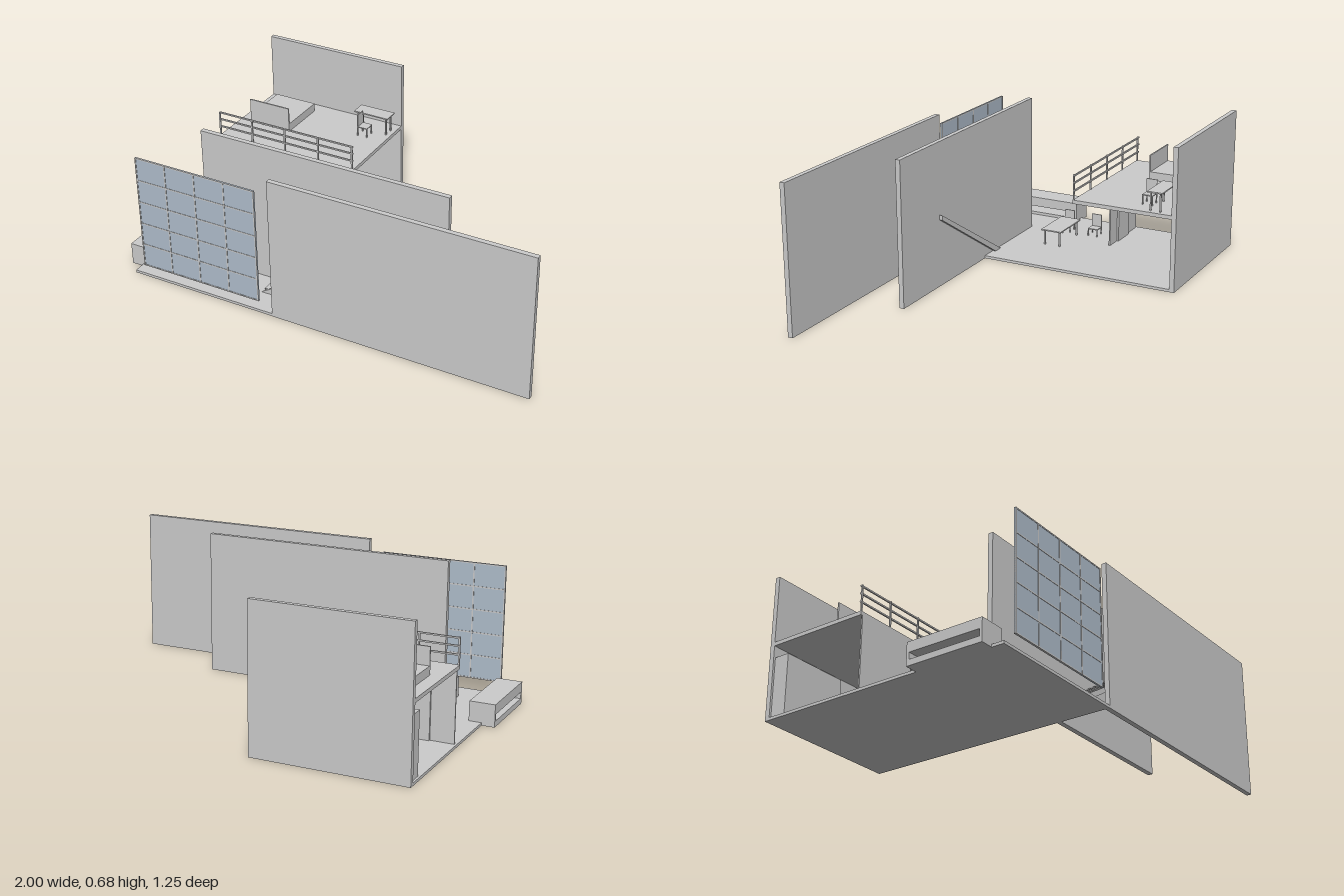
import * as THREE from 'three';

export function createModel() {
  const root = new THREE.Group();
  const grey = new THREE.MeshStandardMaterial({ color: 0xcccccc });
  grey.name = 'plain grey';
  const blue = new THREE.MeshStandardMaterial({ color: 0xb0becc });
  blue.name = 'glass blue';

  // Box given by its extents along x, y and z
  function box(name, x0, x1, y0, y1, z0, z1, parent = root, material = grey) {
    const mesh = new THREE.Mesh(new THREE.BoxGeometry(x1 - x0, y1 - y0, z1 - z0), material);
    mesh.position.set((x0 + x1) / 2, (y0 + y1) / 2, (z0 + z1) / 2);
    mesh.name = name;
    parent.add(mesh);
    return mesh;
  }
  function group(name) {
    const g = new THREE.Group();
    g.name = name;
    root.add(g);
    return g;
  }

  const L = -0.94, R = -0.215, FLOOR = 0.013, UPPER = 0.363;

  // Slabs and the three tall parallel walls
  box('groundFloor', L, R, 0, FLOOR, -0.62, 0.61);
  box('mezzanineFloor', L, R, 0.345, UPPER, -0.602, -0.115);
  box('backWall', L, R, 0, 0.68, -0.625, -0.602);
  box('middleWall', -0.70, 0.51, 0, 0.68, 0.349, 0.372);
  box('frontWall', R, 1, 0, 0.68, 0.588, 0.611);

  // Room under the mezzanine
  box('partition', -0.93, -0.62, FLOOR, 0.345, -0.122, -0.115);
  box('partitionDoor', -0.82, -0.70, FLOOR, 0.255, -0.131, -0.122);
  box('cabinet', -0.93, -0.6, FLOOR, 0.293, -0.602, -0.527);

  // Glazed screen: four bays by five rows
  const screen = group('glassScreen');
  const gx0 = -0.88, gx1 = -0.275, gy0 = 0.065, gy1 = 0.62;
  box('glassPane', gx0, gx1, gy0, gy1, 0.613, 0.619, screen, blue);
  const bar = 0.006;
  for (let i = 0; i <= 4; i++) {
    const x = gx0 + (gx1 - gx0 - bar) * i / 4;
    box('mullion', x, x + bar, gy0, gy1, 0.611, 0.621, screen);
  }
  for (let i = 0; i <= 5; i++) {
    const y = gy0 + (gy1 - gy0 - bar) * i / 5;
    box('transom', gx0, gx1, y, y + bar, 0.6115, 0.6205, screen);
  }

  // Staircase rising towards +x
  const stairs = group('staircase');
  const side = new THREE.Shape();
  side.moveTo(-0.345, FLOOR);
  side.lineTo(-0.295, FLOOR);
  side.lineTo(0.195, 0.317);
  side.lineTo(0.195, 0.34);
  for (const z of [0.334, 0.474]) {
    const s = new THREE.Mesh(new THREE.ExtrudeGeometry(side, { depth: 0.015, bevelEnabled: false }), grey);
    s.position.z = z;
    s.name = 'stringer';
    stairs.add(s);
  }
  for (let i = 0; i < 13; i++) {
    const x = -0.335 + i * 0.0408, y = 0.022 + i * 0.0253;
    box('tread', x, x + 0.04, y, y + 0.005, 0.372, 0.474, stairs);
  }

  // Mezzanine railing
  const railing = group('railing');
  for (let i = 0; i <= 4; i++) {
    const x = L + (R - L - 0.008) * i / 4;
    box('post', x, x + 0.008, UPPER, 0.485, -0.121, -0.115, railing);
  }
  for (const y of [0.405, 0.443, 0.478])
    box('rail', L, R, y, y + 0.007, -0.126, -0.119, railing);

  // Thin tables and chairs share the same corner legs
  function legs(x0, x1, y0, y1, z0, z1, t, parent) {
    for (const x of [x0, x1 - t]) for (const z of [z0, z1 - t])
      box('leg', x, x + t, y0, y1, z, z + t, parent);
  }
  function table(name, x0, x1, y0, y1, z0, z1) {
    const g = group(name);
    box('top', x0, x1, y1 - 0.006, y1, z0, z1, g);
    legs(x0 + 0.012, x1 - 0.012, y0, y1 - 0.006, z0 + 0.01, z1 - 0.01, 0.007, g);
  }
  function chair(x, y, z) {
    const g = group('chair');
    box('seat', x, x + 0.053, y + 0.043, y + 0.048, z, z + 0.052, g);
    box('backrest', x, x + 0.005, y + 0.048, y + 0.11, z, z + 0.052, g);
    legs(x, x + 0.053, y, y + 0.043, z, z + 0.052, 0.005, g);
  }
  table('desk', -0.405, -0.225, UPPER, 0.457, -0.551, -0.477);
  chair(-0.358, UPPER, -0.472);
  table('diningTable', -0.70, -0.48, FLOOR, 0.093, 0.077, 0.183);
  chair(-0.76, FLOOR - 0.01, -0.012);
  chair(-0.76, FLOOR - 0.01, 0.137);

  // Bed with a headboard
  box('bed', -0.88, -0.665, UPPER, 0.403, -0.542, -0.305);
  box('headboard', -0.88, -0.665, UPPER, 0.485, -0.305, -0.298);

  // Counter against the middle wall
  box('counter', -0.72, -0.46, FLOOR, 0.11, 0.372, 0.485);

  // Bench overhanging the floor edge, with an open slot
  const bench = group('bench');
  box('seat', -1, -0.88, 0.058, 0.105, 0.2, 0.54, bench);
  box('base', -1, -0.88, 0, 0.027, 0.2, 0.54, bench);
  for (const z of [0.187, 0.54])
    box('benchEnd', -1, -0.88, 0, 0.105, z, z + 0.013, bench);

  return root;
}
